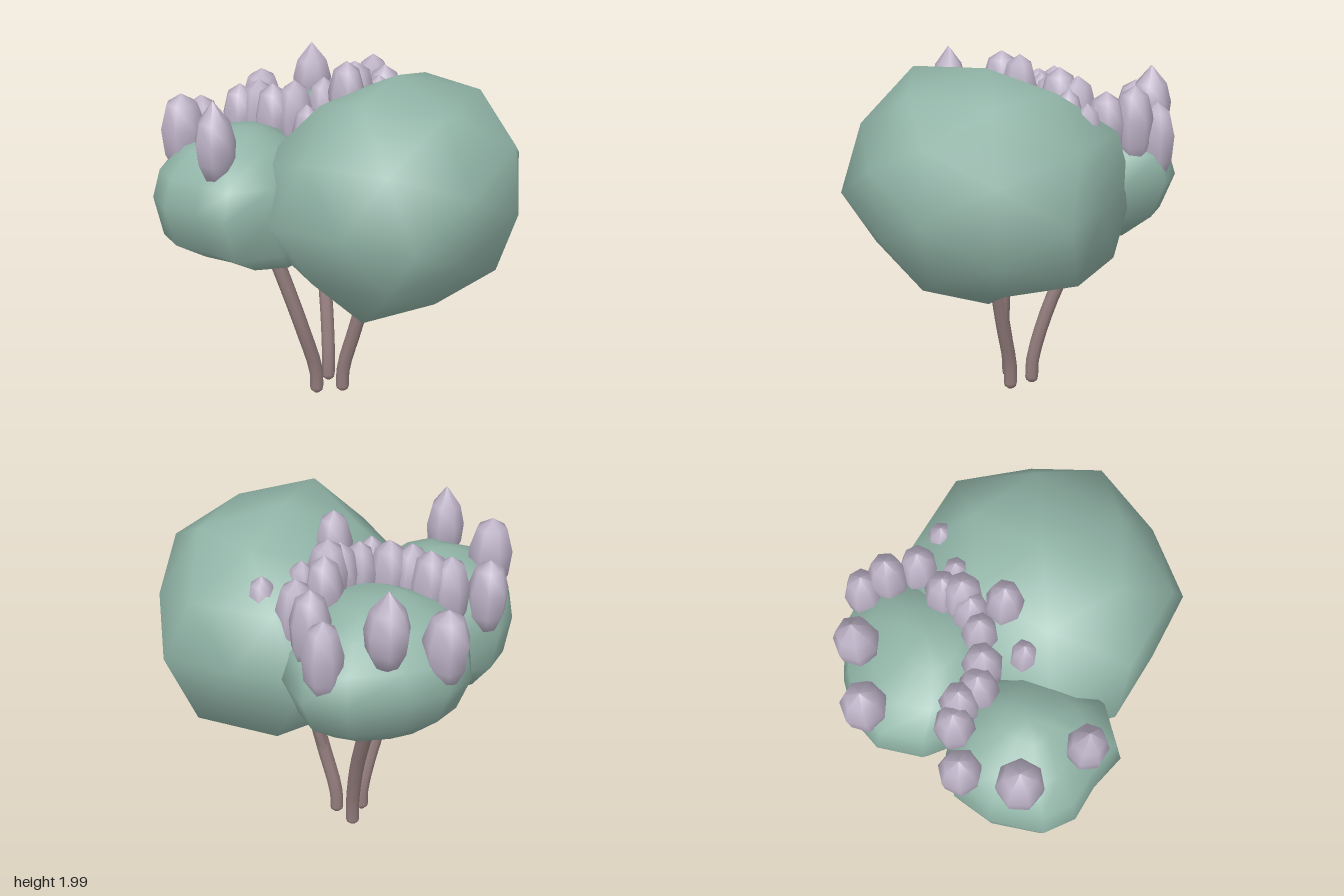
import * as THREE from 'three';
import { mergeVertices } from 'three/addons/utils/BufferGeometryUtils.js';

const foliage = new THREE.MeshStandardMaterial({ color: 0x91b4a7 });
foliage.name = 'sage green';
const petal = new THREE.MeshStandardMaterial({ color: 0xbbb1c5 });
petal.name = 'pale lilac';
const bark = new THREE.MeshStandardMaterial({ color: 0x937c7c });
bark.name = 'dusty brown';

// Uneven outlines of the two smaller clumps, anticlockwise from +x towards +z
const frontOutline = [[1, 0], [0.92, 0.6], [0.49, 1], [0, 0.89], [-0.46, 0.88], [-0.8, 0.64],
  [-1, 0], [-0.95, -0.5], [-0.55, -0.85], [0, -1], [0.5, -0.87], [0.87, -0.5]];
const backOutline = [[1, 0], [0.92, 0.5], [0.5, 0.87], [0, 1], [-0.55, 0.9], [-0.85, 0.65],
  [-1, 0.15], [-0.87, -0.25], [-0.54, -0.6], [0, -0.95], [0.46, -1], [0.83, -0.64]];

function smoothMesh(name, geometry) {
  const geo = mergeVertices(geometry, 1e-4);
  geo.computeVertexNormals();
  const mesh = new THREE.Mesh(geo, foliage);
  mesh.name = name;
  return mesh;
}

// Smooth low-poly clump from rows of [y, xMin, xMax, zMin, zMax], bottom to top
function clump(name, rows, outline) {
  const pos = [], index = [], n = outline.length;
  rows.forEach(([y, x0, x1, z0, z1], r) => {
    outline.forEach(([u, v], i) => {
      pos.push((x0 + x1) / 2 + u * (x1 - x0) / 2, y, (z0 + z1) / 2 + v * (z1 - z0) / 2);
      if (r === rows.length - 1) return;
      const a = r * n + i, b = r * n + (i + 1) % n, c = a + n, d = b + n;
      if (r > 0) index.push(a, c, b);
      else index.push(a, c, d);
      if (r > 0 && r < rows.length - 2) index.push(b, c, d);
    });
  });
  const geo = new THREE.BufferGeometry();
  geo.setAttribute('position', new THREE.Float32BufferAttribute(pos, 3));
  geo.setIndex(index);
  return smoothMesh(name, geo);
}

// Large clump: a subdivided icosahedron, pushed in or out towards the listed directions
function largeClump() {
  const dents = [
    [1, 0, 0, 0.91], [-1, 0, 0, 0.9], [0, 1, 0, 0.93], [0, -1, 0, 0.93], [0, 0, 1, 0.85], [0, 0, -1, 0.83],
    [0, 0.85, 0.53, 1.05], [0, 0.85, -0.53, 0.94], [0, -0.85, -0.53, 0.75], [0, -0.85, 0.53, 0.98],
    [0.85, 0.53, 0, 1.01], [0.85, -0.53, 0, 0.91], [-0.85, 0.53, 0, 0.85], [-0.85, -0.53, 0, 0.88],
    [0.5, -0.81, 0.31, 0.87], [0.5, -0.81, -0.31, 0.82], [-0.5, -0.81, 0.31, 0.86], [-0.5, -0.81, -0.31, 0.82],
    [-0.5, 0.81, 0.31, 0.89], [-0.5, 0.81, -0.31, 0.84], [0.31, -0.5, 0.81, 0.9], [-0.31, -0.5, 0.81, 0.9],
    [0.81, 0.31, 0.5, 0.92], [0.81, 0.31, -0.5, 0.92], [0.81, -0.31, 0.5, 0.84], [0.81, -0.31, -0.5, 0.9],
  ].map(([x, y, z, f]) => [new THREE.Vector3(x, y, z).normalize(), f]);
  const geo = new THREE.IcosahedronGeometry(1, 1).rotateY(Math.PI / 2);
  geo.deleteAttribute('normal');
  geo.deleteAttribute('uv');
  const pos = geo.attributes.position, v = new THREE.Vector3();
  for (let i = 0; i < pos.count; i++) {
    v.fromBufferAttribute(pos, i);
    const dent = dents.find(([dir]) => dir.dot(v) > 0.97);
    v.multiplyScalar(dent ? dent[1] : 0.98);
    pos.setXYZ(i, 0.25 + v.x * 0.75, 1.32 + v.y * 0.7, 0.015 + v.z * 0.8);
  }
  return smoothMesh('largeFoliage', geo);
}

// Bent stem with a rounded foot
function stem(name, points, radius) {
  const group = new THREE.Group();
  group.name = name;
  const path = new THREE.CatmullRomCurve3(points.map(p => new THREE.Vector3(...p)));
  group.add(new THREE.Mesh(new THREE.TubeGeometry(path, 10, radius, 8), bark));
  const foot = new THREE.Mesh(new THREE.SphereGeometry(radius, 8, 6), bark);
  foot.position.set(...points[0]);
  group.add(foot);
  return group;
}

function budGeometry(profile) {
  return new THREE.LatheGeometry(profile.map(p => new THREE.Vector2(...p)), 7);
}

export function createModel() {
  const model = new THREE.Group();
  model.name = 'floweringTree';

  // Foliage
  model.add(largeClump());
  model.add(clump('frontFoliage', [
    [0.93, -0.36, -0.36, 0.3, 0.3],
    [1.0, -0.8, -0.13, 0.06, 0.58],
    [1.13, -0.9, -0.09, 0, 0.77],
    [1.35, -0.93, -0.12, -0.03, 0.81],
    [1.5, -0.89, -0.13, 0, 0.77],
    [1.62, -0.77, -0.26, 0.08, 0.64],
    [1.68, -0.58, -0.38, 0.22, 0.48],
    [1.7, -0.47, -0.47, 0.35, 0.35],
  ], frontOutline));
  model.add(clump('backFoliage', [
    [0.92, -0.4, -0.4, -0.32, -0.32],
    [1.0, -0.66, -0.12, -0.55, -0.08],
    [1.15, -0.82, 0, -0.73, 0.06],
    [1.35, -0.89, 0.06, -0.81, 0.1],
    [1.5, -0.85, 0.04, -0.76, 0.08],
    [1.62, -0.7, -0.08, -0.62, 0.02],
    [1.69, -0.5, -0.2, -0.45, -0.12],
    [1.7, -0.35, -0.35, -0.3, -0.3],
  ], backOutline));

  // Stems
  model.add(stem('frontStem', [[-0.185, 0.05, 0.12], [-0.185, 0.16, 0.125], [-0.23, 0.47, 0.2], [-0.3, 0.75, 0.245], [-0.38, 1.02, 0.28]], 0.041));
  model.add(stem('backStem', [[-0.185, 0.05, -0.035], [-0.185, 0.16, -0.04], [-0.23, 0.47, -0.11], [-0.3, 0.75, -0.2], [-0.38, 1.02, -0.3]], 0.041));
  model.add(stem('sideStem', [[-0.055, 0.05, 0.04], [-0.05, 0.16, 0.04], [0.035, 0.47, 0.045], [0.115, 0.78, 0.045], [0.16, 0.95, 0.045]], 0.041));
  model.add(stem('sideBranch', [[0.02, 0.42, 0.04], [0.06, 0.62, 0.015], [0.1, 0.9, -0.01]], 0.03));

  // Flower buds: [x, z, tip height, length, width]
  const blunt = budGeometry([[0, 0], [0.28, 0.03], [0.45, 0.25], [0.5, 0.58], [0.34, 0.88], [0, 1]]);
  const pointed = budGeometry([[0, 0], [0.28, 0.04], [0.46, 0.26], [0.5, 0.5], [0.38, 0.75], [0, 1]]);
  const bluntBuds = [
    [-0.78, -0.4, 1.77, 0.4, 0.24], [-0.27, -0.72, 1.77, 0.41, 0.21],
    [-0.17, -0.63, 1.87, 0.42, 0.21], [-0.05, -0.52, 1.85, 0.4, 0.21], [-0.12, -0.33, 1.9, 0.4, 0.2],
    [-0.1, -0.23, 1.94, 0.4, 0.22], [-0.14, -0.16, 1.9, 0.4, 0.2], [-0.21, -0.07, 1.88, 0.4, 0.19],
    [-0.05, -0.02, 2, 0.4, 0.2], [-0.34, 0.02, 1.87, 0.42, 0.21], [-0.45, 0.06, 1.85, 0.42, 0.21],
    [-0.56, 0.02, 1.85, 0.42, 0.21], [-0.66, 0.05, 1.82, 0.4, 0.21], [-0.83, 0.18, 1.77, 0.4, 0.22],
    [-0.76, 0.47, 1.87, 0.42, 0.24],
    [0.14, -0.5, 1.82, 0.35, 0.16], [0, -0.33, 1.85, 0.35, 0.16], [-0.19, 0.17, 1.8, 0.35, 0.16],
  ];
  const pointedBuds = [[-0.54, -0.58, 1.91, 0.41, 0.23], [-0.45, 0.66, 1.93, 0.43, 0.21]];
  const group = new THREE.Group();
  group.name = 'flowerBuds';
  for (const [geo, buds] of [[blunt, bluntBuds], [pointed, pointedBuds]]) {
    buds.forEach(([x, z, tip, length, width], i) => {
      const bud = new THREE.Mesh(geo, petal);
      bud.name = 'flowerBud';
      bud.position.set(x, tip - length, z);
      bud.scale.set(width, length, width);
      bud.rotation.y = i * 1.3;
      group.add(bud);
    });
  }
  model.add(group);
  return model;
}
